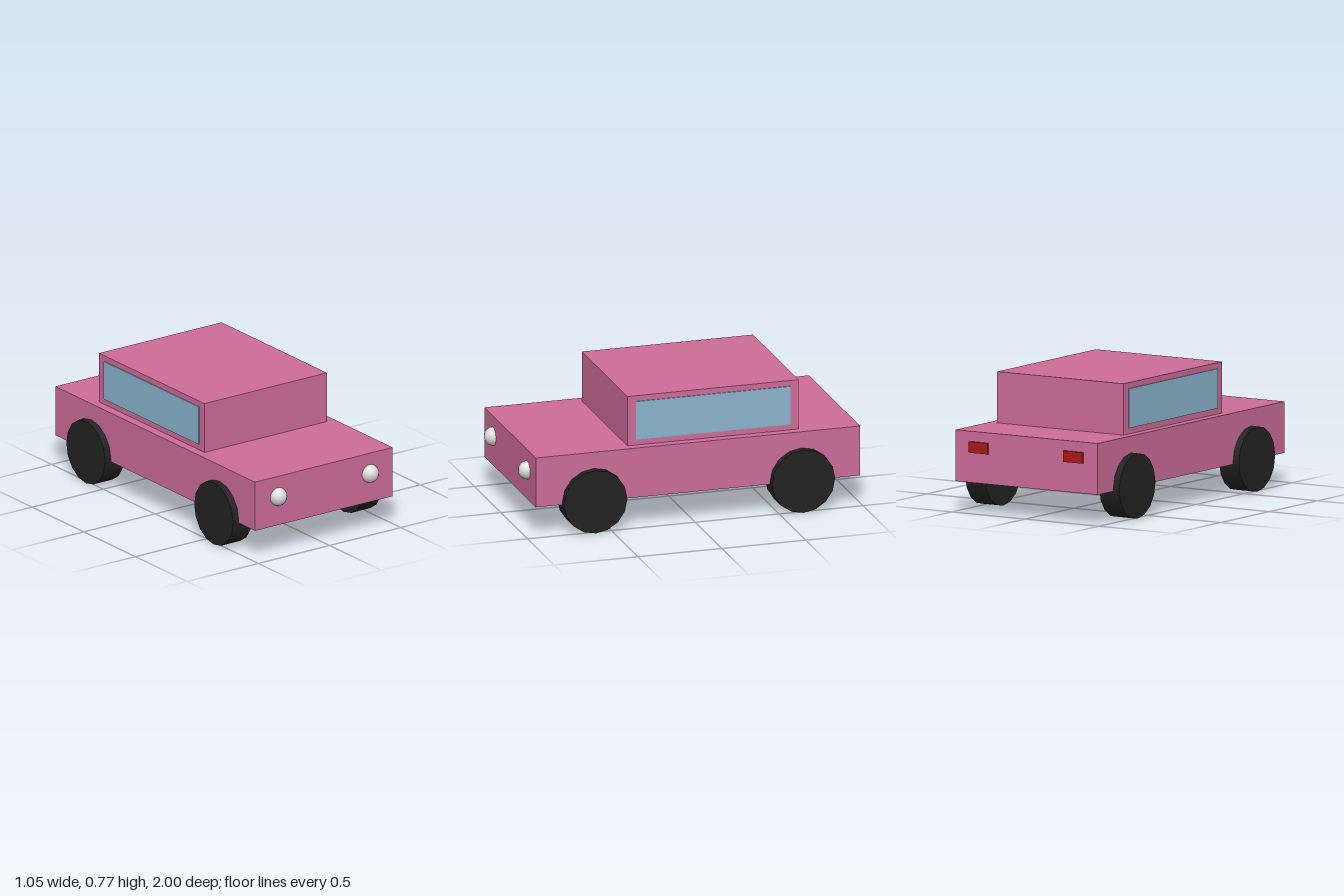
import * as THREE from 'three';

const material = (name, color) => {
  const m = new THREE.MeshStandardMaterial({ color });
  m.name = name;
  return m;
};

export function createModel() {
  const paint = material('pink paint', 0xcc6c98);
  const glass = material('blue glass', 0x8ab4cc);
  const rubber = material('black rubber', 0x222222);
  const lamp = material('light grey lamp', 0xdddddd);
  const red = material('red lamp', 0xaa1a1a);

  const car = new THREE.Group();
  car.name = 'car';

  const add = (name, geometry, mat, x, y, z) => {
    const mesh = new THREE.Mesh(geometry, mat);
    mesh.name = name;
    mesh.position.set(x, y, z);
    car.add(mesh);
  };

  // Lower body and cabin
  add('body', new THREE.BoxGeometry(0.966, 0.295, 1.933), paint, 0, 0.325, -0.0215);
  add('cabin', new THREE.BoxGeometry(0.859, 0.295, 1.02), paint, 0, 0.62, -0.128);

  // Wheels turn about the x axis
  const wheel = new THREE.CylinderGeometry(0.188, 0.188, 0.134, 16).rotateZ(Math.PI / 2);
  const headlight = new THREE.SphereGeometry(0.0537, 12, 12);
  const tailLight = new THREE.BoxGeometry(0.129, 0.064, 0.024);
  const sideWindow = new THREE.BoxGeometry(0.009, 0.228, 0.92);

  // Mirrored parts
  for (const [side, s] of [['left', 1], ['right', -1]]) {
    add(`${side}FrontWheel`, wheel, rubber, s * 0.456, 0.188, 0.6);
    add(`${side}RearWheel`, wheel, rubber, s * 0.456, 0.188, -0.638);
    add(`${side}Headlight`, headlight, lamp, s * 0.322, 0.351, 0.945);
    add(`${side}TailLight`, tailLight, red, s * 0.322, 0.382, -0.988);
    add(`${side}Window`, sideWindow, glass, s * 0.4305, 0.62, -0.128);
  }

  return car;
}
